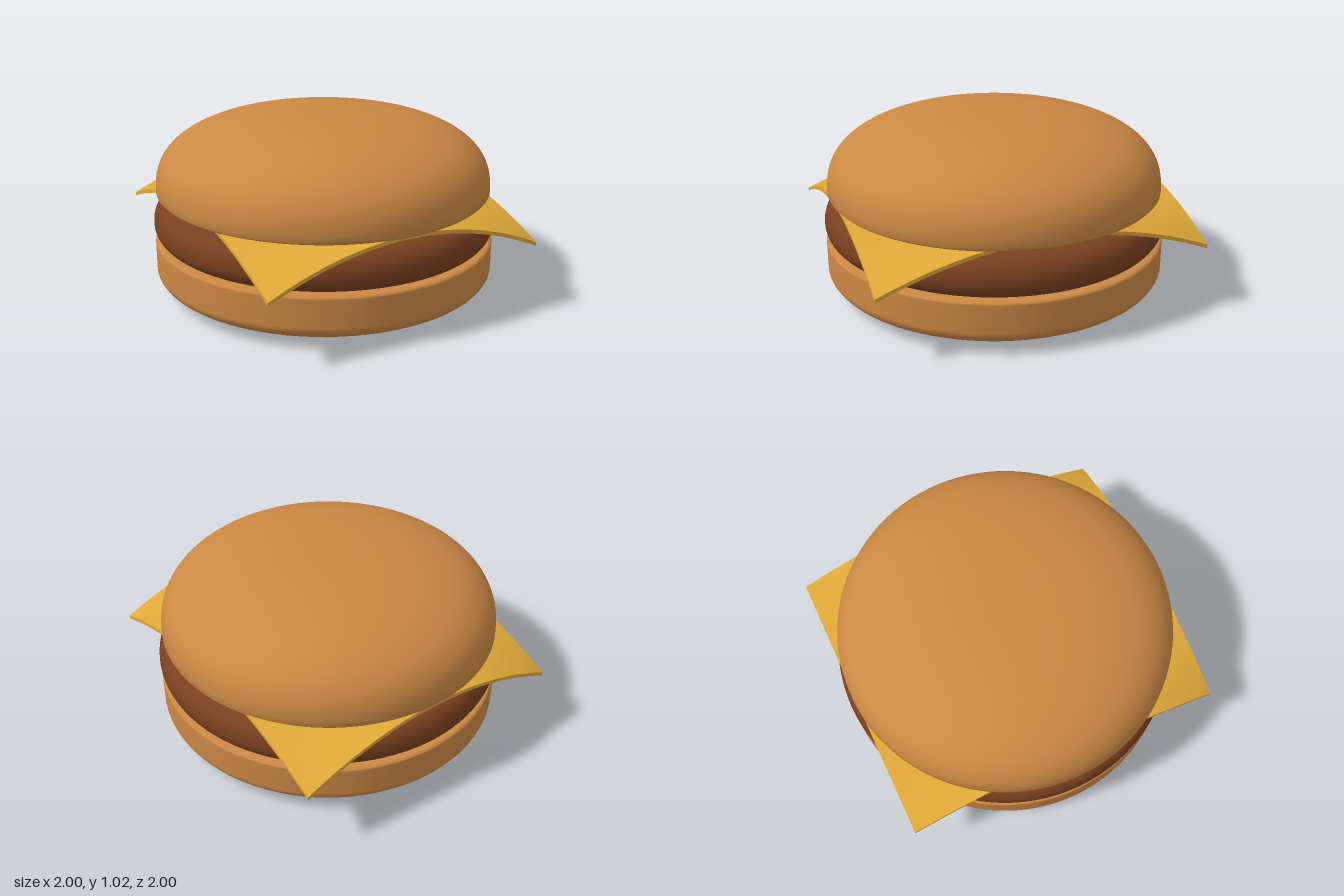
import * as THREE from 'three';

const material = (color) => new THREE.MeshStandardMaterial({ color });
const bunMaterial = material(0xcc8844);

// Round part turned from a [radius, height] profile, listed bottom to top
function turned(name, profile, mat) {
  const points = profile.map(([r, y]) => new THREE.Vector2(r, y));
  const mesh = new THREE.Mesh(new THREE.LatheGeometry(points, 96), mat);
  mesh.name = name;
  return mesh;
}

// Domed crown: flat underside, then a superellipse quarter arc
function topBun() {
  const base = 0.605, radius = 0.975, height = 0.425, power = 2 / 2.6;
  const profile = [[0, 0.59], [0.94, 0.59], [0.962, 0.592]];
  const steps = 32;
  for (let i = 0; i <= steps; i++) {
    const a = (i / steps) * Math.PI / 2;
    const c = i === steps ? 0 : Math.cos(a);
    profile.push([radius * c ** power, base + height * Math.sin(a) ** power]);
  }
  const mesh = turned('topBun', profile, bunMaterial);
  mesh.position.x = -0.005;
  return mesh;
}

// Heel with a softly rounded lower edge and a small upper bevel
function bottomBun() {
  const profile = [[0, 0.005], [0.4, 0.012], [0.65, 0.023], [0.8, 0.038]];
  for (let i = 0; i <= 10; i++) {
    const a = (i / 10) * Math.PI / 2;
    profile.push([0.865 + 0.13 * Math.sin(a), 0.14 - 0.09 * Math.cos(a)]);
  }
  profile.push([0.995, 0.3], [0.992, 0.31], [0.98, 0.316], [0.96, 0.317], [0, 0.317]);
  return turned('bottomBun', profile, bunMaterial);
}

// Flat disc with a bulging rim
function patty() {
  const profile = [[0, 0.31], [0.86, 0.31]];
  for (let i = 0; i <= 20; i++) {
    const a = (i / 20 - 0.5) * Math.PI;
    const rise = Math.sin(a) * (a < 0 ? 0.108 : 0.13);
    profile.push([0.8 + 0.2 * Math.sqrt(Math.cos(a) + 1e-9), 0.418 + rise]);
  }
  profile.push([0.6, 0.565], [0.3, 0.576], [0, 0.578]);
  return turned('patty', profile, material(0x7a4020));
}

// Thin square slice whose four corners droop
function cheese() {
  const width = 1.665, depth = 1.91, thickness = 0.022;
  const geometry = new THREE.BoxGeometry(width, thickness, depth, 40, 1, 40);
  const p = geometry.attributes.position;
  for (let i = 0; i < p.count; i++) {
    const u = p.getX(i) / (width / 2);
    const v = p.getZ(i) / (depth / 2);
    p.setY(i, p.getY(i) + 0.587 - 0.2 * u * u * v * v);
  }
  geometry.computeVertexNormals();
  const mesh = new THREE.Mesh(geometry, material(0xe0a838));
  mesh.name = 'cheeseSlice';
  mesh.position.set(-0.003, 0, -0.005);
  return mesh;
}

export function createModel() {
  const group = new THREE.Group();
  group.name = 'cheeseburger';
  group.add(bottomBun(), patty(), cheese(), topBun());
  return group;
}
